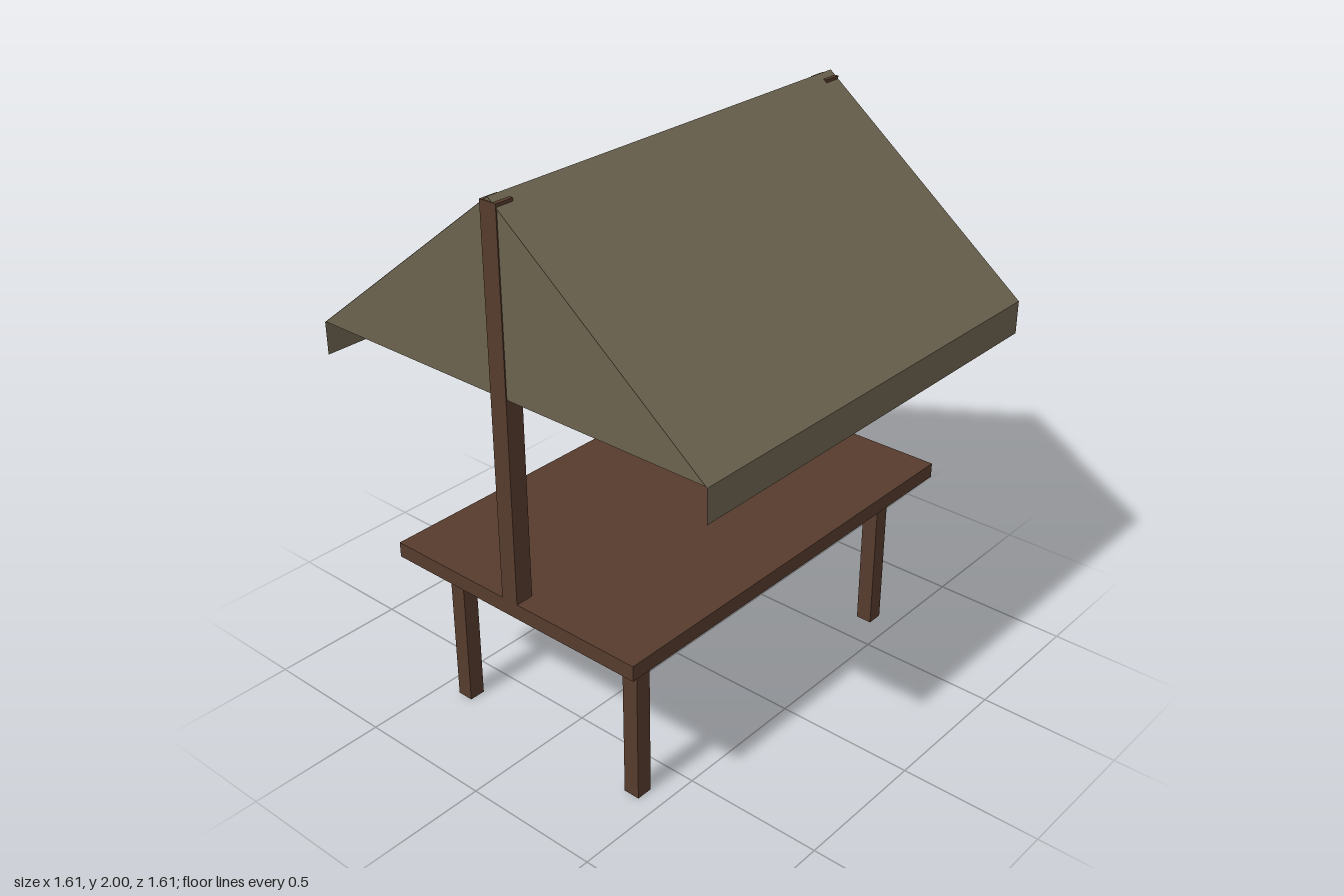
import * as THREE from 'three';

const wood = new THREE.MeshStandardMaterial({ color: 0x563b2d });
wood.name = 'dark wood';
const canvas = new THREE.MeshStandardMaterial({ color: 0x6b624e, side: THREE.DoubleSide });
canvas.name = 'canvas';

export function createModel() {
  const group = new THREE.Group();
  const halfDepth = 0.805, halfRoof = 0.805, ridge = 2, eave = 1.37, hem = 1.253;

  const add = (name, geometry, material) => {
    const mesh = new THREE.Mesh(geometry, material);
    mesh.name = name;
    group.add(mesh);
    return mesh;
  };
  const box = (name, w, h, d, x, y, z) =>
    add(name, new THREE.BoxGeometry(w, h, d), wood).position.set(x, y, z);

  // Flat cloth panel running the whole depth between two points of the roof outline
  const panel = (name, x0, y0, x1, y1) => {
    const g = new THREE.PlaneGeometry(1, 2 * halfDepth);
    const p = g.attributes.position;
    for (let i = 0; i < p.count; i++) {
      const t = p.getX(i) + 0.5;
      p.setXYZ(i, x0 + (x1 - x0) * t, y0 + (y1 - y0) * t, -p.getY(i));
    }
    g.computeVertexNormals();
    add(name, g, canvas);
  };

  // Counter top
  box('counterTop', 1.05, 0.055, 2 * halfDepth, 0, 0.6175, 0);

  // Four legs
  for (const x of [-0.395, 0.395])
    for (const z of [-0.65, 0.65]) box('leg', 0.06, 0.59, 0.06, x, 0.295, z);

  // Roof slopes with hanging valances
  for (const s of [-1, 1]) {
    const side = s > 0 ? 'left' : 'right';
    const eaveX = s * halfRoof;
    if (s > 0) {
      panel(side + 'RoofSlope', 0, ridge, eaveX, eave);
      panel(side + 'Valance', eaveX, eave, eaveX, hem);
    } else {
      panel(side + 'RoofSlope', eaveX, eave, 0, ridge);
      panel(side + 'Valance', eaveX, hem, eaveX, eave);
    }
  }

  // Posts and gable cloths at both ends
  const triangle = new THREE.Shape([
    new THREE.Vector2(-halfRoof, eave),
    new THREE.Vector2(halfRoof, eave),
    new THREE.Vector2(0, ridge),
  ]);
  for (const s of [-1, 1]) {
    const end = s > 0 ? 'front' : 'back';
    box(end + 'Post', 0.066, 1.34, 0.067, 0, 1.315, s * (halfDepth - 0.0335));
    const gable = add(end + 'Gable', new THREE.ShapeGeometry(triangle), canvas);
    gable.position.z = s * (halfDepth - 0.004);
    if (s < 0) gable.rotation.y = Math.PI;
  }

  return group;
}
